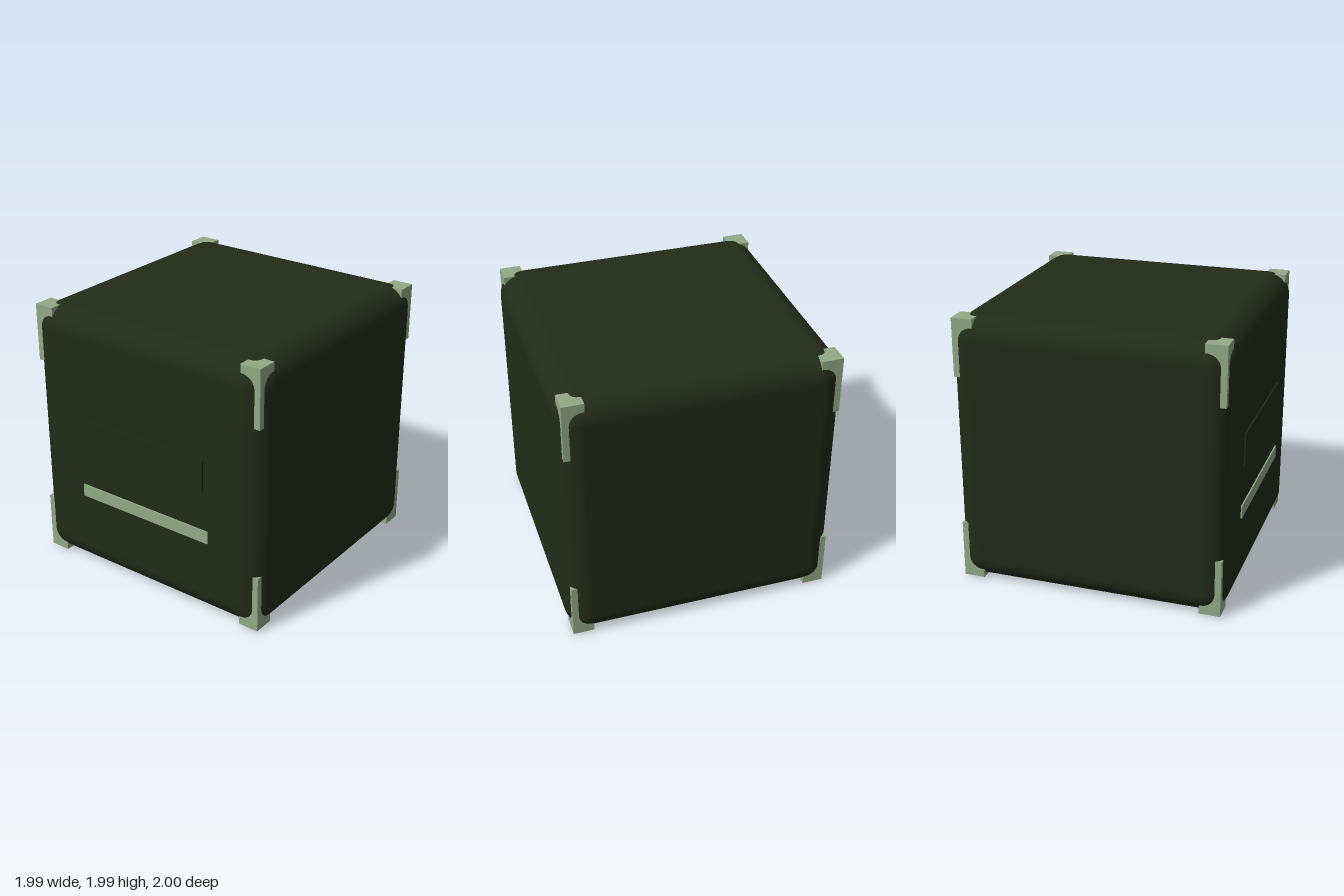
import * as THREE from 'three';
import { RoundedBoxGeometry } from 'three/addons/geometries/RoundedBoxGeometry.js';

export function createModel() {
  const model = new THREE.Group();
  const dark = new THREE.MeshStandardMaterial({ color: 0x222b18 });
  const pale = new THREE.MeshStandardMaterial({ color: 0x92aa86 });

  const add = (parent, name, geometry, material, x, y, z) => {
    const mesh = new THREE.Mesh(geometry, material);
    mesh.name = name;
    mesh.position.set(x, y, z);
    parent.add(mesh);
    return mesh;
  };

  // Rounded cube, set slightly back to leave room for the front details
  const size = 1.99, midY = size / 2, midZ = -0.005;
  add(model, 'body', new RoundedBoxGeometry(size, size, size, 8, 0.17), dark, 0, midY, midZ);

  // Raised panel and light strip on the front face
  add(model, 'frontPanel', new THREE.BoxGeometry(1.06, 0.25, 0.04), dark, 0, 1.09, 0.98);
  add(model, 'frontStrip', new THREE.BoxGeometry(1.132, 0.095, 0.04), pale, 0, 0.632, 0.98);

  // Upright guards poking out of the eight rounded corners
  const guards = new THREE.Group();
  guards.name = 'cornerGuards';
  model.add(guards);
  const guard = new THREE.BoxGeometry(0.153, 0.425, 0.153);
  for (const sx of [-1, 1])
    for (const sy of [-1, 1])
      for (const sz of [-1, 1]) {
        const name = `${sy > 0 ? 'top' : 'bottom'}${sz > 0 ? 'Front' : 'Back'}${sx > 0 ? 'Left' : 'Right'}Guard`;
        add(guards, name, guard, pale, sx * 0.889, midY + sy * 0.7725, midZ + sz * 0.889);
      }

  return model;
}
